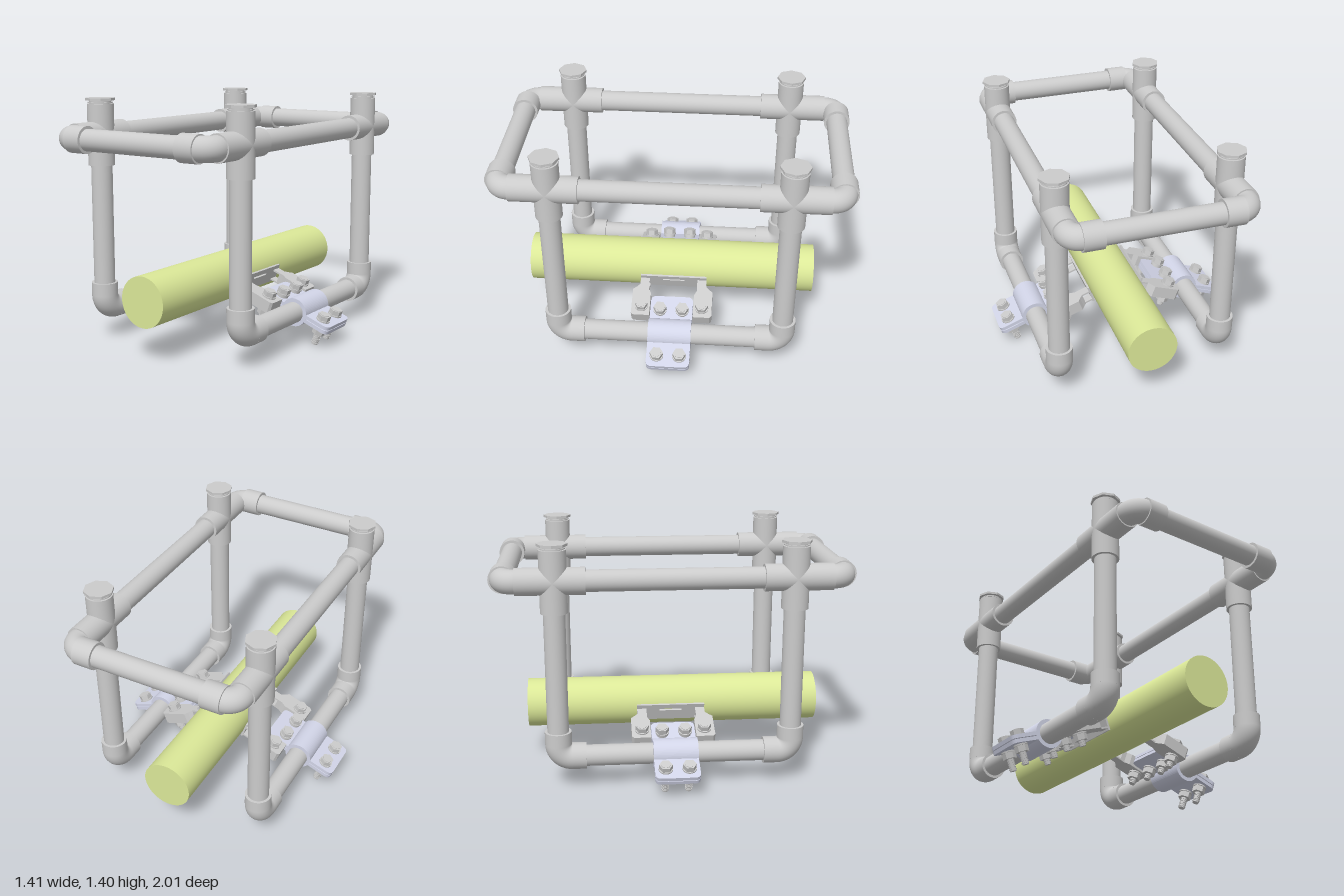
import * as THREE from 'three';

const V = (x, y, z) => new THREE.Vector3(x, y, z);
const grey = new THREE.MeshStandardMaterial({ color: 0xcccccc });
const facet = new THREE.MeshStandardMaterial({ color: 0xcccccc, flatShading: true });
const pale = new THREE.MeshStandardMaterial({ color: 0xd2d5e8 });
const green = new THREE.MeshStandardMaterial({ color: 0xdbe898 });

const PIPE = 0.06, X = 0.48, POST_Z = 0.655, LOW = 0.18, HIGH = 1.185, END_Z = 0.93;

function add(parent, name, geo, mat = grey) {
  const m = new THREE.Mesh(geo, mat);
  m.name = name;
  parent.add(m);
  return m;
}

// Round bar between two points
function rod(parent, name, a, b, r, mat = grey, sides = 40) {
  const d = b.clone().sub(a);
  const m = add(parent, name, new THREE.CylinderGeometry(r, r, d.length(), sides), mat);
  m.position.copy(a).lerp(b, 0.5);
  m.quaternion.setFromUnitVectors(V(0, 1, 0), d.normalize());
  return m;
}

// Quarter bend leaving a corner along directions a and b
class Bend extends THREE.Curve {
  constructor(corner, a, b, R) {
    super();
    Object.assign(this, { corner, a, b, R });
  }
  getPoint(t, target = V(0, 0, 0)) {
    const q = t * Math.PI / 2;
    return target.copy(this.corner)
      .addScaledVector(this.a, this.R * (1 - Math.sin(q)))
      .addScaledVector(this.b, this.R * (1 - Math.cos(q)));
  }
}

// Elbow fitting: bend plus a sleeve on each arm given as [start, end]
function elbow(parent, name, corner, a, b, R, r, sleeveA, sleeveB) {
  const g = new THREE.Group();
  g.name = name;
  parent.add(g);
  add(g, 'bend', new THREE.TubeGeometry(new Bend(corner, a, b, R), 20, r, 32));
  for (const [dir, s] of [[a, sleeveA], [b, sleeveB]]) {
    if (!s) continue;
    rod(g, 'sleeve', corner.clone().addScaledVector(dir, s[0]), corner.clone().addScaledVector(dir, s[1]), 0.075);
  }
}

// Flat plate from a plan outline of [x, z] points, between heights y0 and y1
function plate(parent, name, shape, y0, y1, mat) {
  const geo = new THREE.ExtrudeGeometry(shape, { depth: y1 - y0, bevelEnabled: false, curveSegments: 8 });
  geo.rotateX(Math.PI / 2).translate(0, y1, 0);
  return add(parent, name, geo, mat);
}

// Hex bolt with washers and nut, head resting on "top", nut under "bottom"
function bolt(parent, x, z, top, bottom, tip) {
  const g = new THREE.Group();
  g.name = 'bolt';
  g.position.set(x, 0, z);
  parent.add(g);
  const part = (name, y0, y1, r, sides, mat) => rod(g, name, V(0, y0, 0), V(0, y1, 0), r, mat, sides);
  part('topWasher', top, top + 0.008, 0.04, 24, grey);
  part('boltHead', top + 0.008, top + 0.036, 0.038, 6, facet);
  part('headBoss', top + 0.036, top + 0.039, 0.027, 20, grey);
  part('bottomWasher', bottom - 0.008, bottom, 0.04, 24, grey);
  part('nut', bottom - 0.043, bottom - 0.008, 0.038, 6, facet);
  part('shank', tip, top, 0.018, 16, grey);
  for (let y = tip + 0.008; y < bottom - 0.05; y += 0.012) part('thread', y, y + 0.005, 0.021, 16, grey);
}

function flangeShape(dir) {
  const a = 0.068 * dir, b = 0.23 * dir, w = 0.126, r = 0.035, c = b - r * dir;
  const s = new THREE.Shape();
  s.moveTo(a, -w);
  s.lineTo(c, -w);
  s.quadraticCurveTo(b, -w, b, -w + r);
  s.lineTo(b, w - r);
  s.quadraticCurveTo(b, w, c, w);
  s.lineTo(a, w);
  s.closePath();
  return s;
}

// Pipe clamp with forked support; local +x points up toward the central cylinder
function clamp() {
  const g = new THREE.Group();
  g.name = 'supportClamp';

  // Saddle ring around the bottom pipe
  const ring = new THREE.Shape().absarc(0, 0, 0.082, 0, Math.PI * 2);
  ring.holes.push(new THREE.Path().absarc(0, 0, PIPE, 0, Math.PI * 2, true));
  const ringGeo = new THREE.ExtrudeGeometry(ring, { depth: 0.252, bevelEnabled: false, curveSegments: 32 });
  add(g, 'saddleRing', ringGeo.translate(0, 0, -0.126), pale);
  for (const d of [-1, 1]) {
    plate(g, 'saddleFlange', flangeShape(d), 0.002, 0.023, pale);
    plate(g, 'saddleFlange', flangeShape(d), -0.023, -0.002, pale);
  }

  for (const s of [-1, 1]) {
    bolt(g, -0.16, s * 0.066, 0.023, -0.023, -0.135);
    rod(g, 'spacer', V(0.13, 0.023, s * 0.066), V(0.13, 0.04, s * 0.066), 0.034, grey, 24);
    bolt(g, 0.13, s * 0.066, 0.04, -0.023, -0.1);
    bolt(g, 0.155, s * 0.18, 0.035, -0.035, -0.11);

    // Arm with chamfered outer corner
    const arm = new THREE.Shape([[0.092, 0.13], [0.24, 0.13], [0.27, 0.145], [0.3, 0.145], [0.3, 0.2],
      [0.28, 0.22], [0.265, 0.24], [0.105, 0.24], [0.092, 0.228]].map(([x, z]) => new THREE.Vector2(x, z * s)));
    plate(g, 'supportArm', arm, -0.035, 0.035, grey);

    // Prongs joining arm and contact plate
    for (const y of [-0.03, 0.03]) {
      add(g, 'prong', new THREE.BoxGeometry(0.065, 0.01, 0.055)).position.set(0.32, y, s * 0.172);
    }
  }

  // Contact plate with a long slot, tangent to the cylinder
  const face = new THREE.Shape([[-0.2, -0.047], [0.2, -0.047], [0.2, 0.06], [-0.2, 0.06]]
    .map(([z, y]) => new THREE.Vector2(z, y)));
  face.holes.push(new THREE.Path([[-0.065, 0.018], [-0.065, 0.03], [0.065, 0.03], [0.065, 0.018]]
    .map(([z, y]) => new THREE.Vector2(z, y))));
  const faceGeo = new THREE.ExtrudeGeometry(face, { depth: 0.012, bevelEnabled: false });
  add(g, 'contactPlate', faceGeo.rotateY(Math.PI / 2).translate(0.345, 0, 0));
  return g;
}

export function createModel() {
  const model = new THREE.Group();
  model.name = 'pipeFrame';

  // Central cylinder
  rod(model, 'centralCylinder', V(0, 0.333, -0.842), V(0, 0.333, 0.882), 0.143, green, 64);

  for (const sx of [-1, 1]) {
    const x = sx * X;
    rod(model, 'bottomSidePipe', V(x, LOW, -0.56), V(x, LOW, 0.56), PIPE);
    rod(model, 'topSidePipe', V(x, HIGH, -0.85), V(x, HIGH, 0.85), PIPE);

    for (const sz of [-1, 1]) {
      const z = sz * POST_Z;
      rod(model, 'post', V(x, 0.27, z), V(x, 1.3, z), PIPE);
      elbow(model, 'bottomElbow', V(x, LOW, z), V(0, 1, 0), V(0, 0, -sz), 0.077, 0.075, [0.076, 0.15], [0.076, 0.155]);

      // Cross fitting on the post
      rod(model, 'crossFittingVertical', V(x, 1.012, z), V(x, 1.358, z), 0.075);
      rod(model, 'crossFittingHorizontal', V(x, HIGH, sz * 0.482), V(x, HIGH, sz * 0.83), 0.075);

      // Stepped plug with octagonal cap
      rod(model, 'plugNeck', V(x, 1.358, z), V(x, 1.378, z), 0.062);
      rod(model, 'plugCollar', V(x, 1.362, z), V(x, 1.368, z), 0.07);
      rod(model, 'plugCap', V(x, 1.376, z), V(x, 1.39, z), 0.083, facet, 8);

      elbow(model, 'topElbow', V(x, HIGH, sz * END_Z), V(-sx, 0, 0), V(0, 0, -sz), 0.07, 0.067,
        [0.05, 0.16], [0.07, 0.11]);
    }

    // Clamp turned around for the other side
    const side = new THREE.Group();
    side.name = sx < 0 ? 'rightClamp' : 'leftClamp';
    if (sx > 0) side.rotation.y = Math.PI;
    const c = clamp();
    c.position.set(-X, LOW, 0);
    c.rotation.z = THREE.MathUtils.degToRad(20);
    side.add(c);
    model.add(side);
  }

  for (const sz of [-1, 1]) {
    rod(model, 'endPipe', V(-0.4, HIGH, sz * END_Z), V(0.4, HIGH, sz * END_Z), PIPE);
  }
  return model;
}
